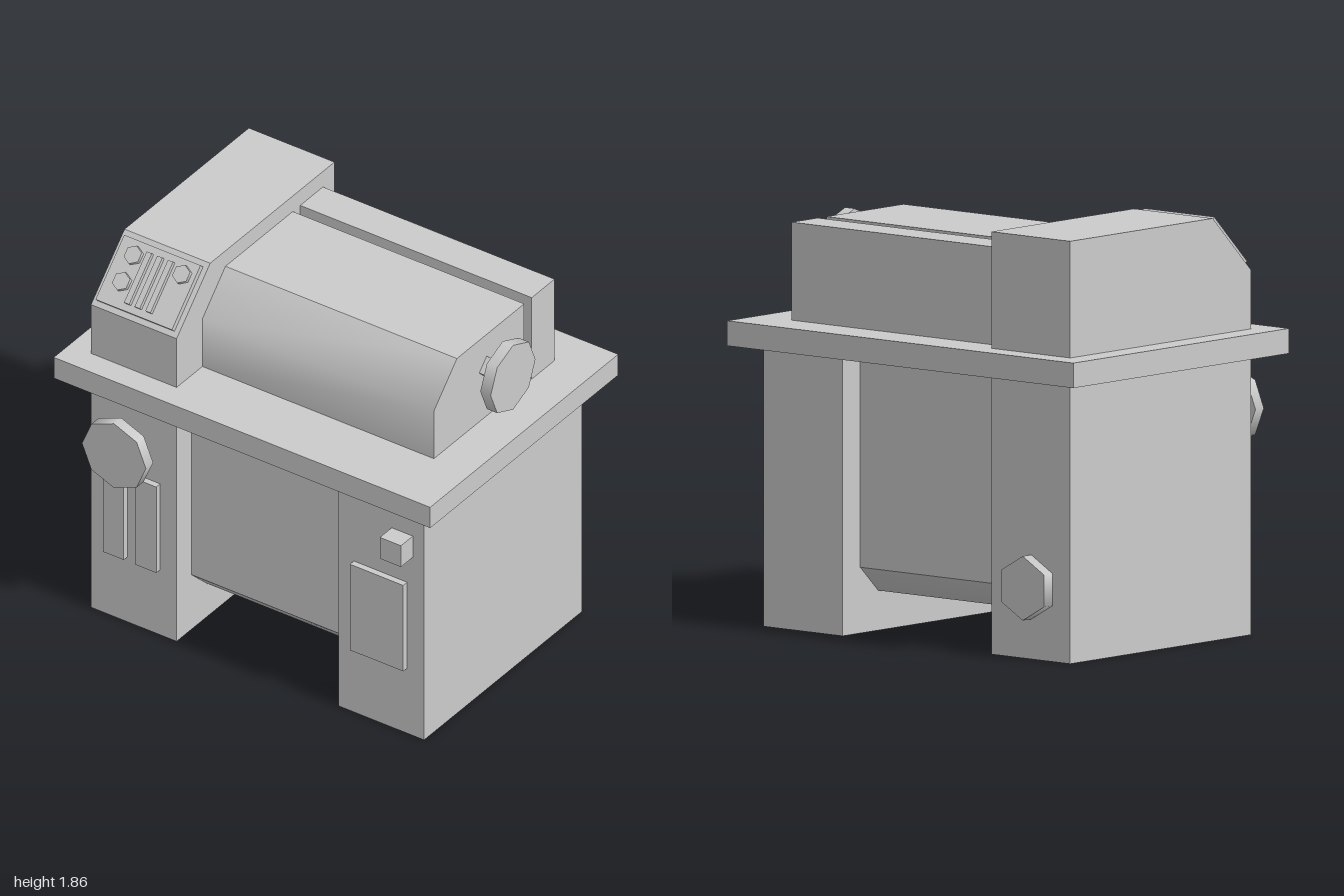
import * as THREE from 'three';
import { toCreasedNormals } from 'three/addons/utils/BufferGeometryUtils.js';

const smooth = new THREE.MeshStandardMaterial({ color: 0xcccccc });
const flat = new THREE.MeshStandardMaterial({ color: 0xcccccc, flatShading: true });

function add(parent, name, geometry, material = flat) {
  const mesh = new THREE.Mesh(geometry, material);
  mesh.name = name;
  parent.add(mesh);
  return mesh;
}

// Box given by its extents on each axis
function block(parent, name, [x0, x1], [y0, y1], [z0, z1]) {
  const mesh = add(parent, name, new THREE.BoxGeometry(x1 - x0, y1 - y0, z1 - z0));
  mesh.position.set((x0 + x1) / 2, (y0 + y1) / 2, (z0 + z1) / 2);
  return mesh;
}

// Side profile of [z, y] points extruded along x
function prism(parent, name, [x0, x1], profile, crease) {
  const shape = new THREE.Shape(profile.map(([z, y]) => new THREE.Vector2(-z, y)));
  const geometry = new THREE.ExtrudeGeometry(shape, { depth: x1 - x0, bevelEnabled: false });
  geometry.rotateY(Math.PI / 2).translate(x0, 0, 0);
  return add(parent, name, toCreasedNormals(geometry, crease), smooth);
}

// Polygonal disc with its axis along z
function disc(parent, name, radius, sides, z0, z1, material = smooth) {
  const geometry = new THREE.CylinderGeometry(radius, radius, z1 - z0, sides);
  geometry.rotateX(Math.PI / 2).translate(0, 0, (z0 + z1) / 2);
  return add(parent, name, geometry, material);
}

// Handwheel on a square shaft, pointing along z from its mounting face
function handwheel(parent, name, shaftLength) {
  const group = new THREE.Group();
  group.name = name;
  disc(group, 'shaft', 0.057, 4, 0, shaftLength, flat);
  disc(group, 'wheel', 0.17, 8, shaftLength, shaftLength + 0.055);
  parent.add(group);
  return group;
}

export function createModel() {
  const model = new THREE.Group();
  model.name = 'machine';
  const front = 0.582, back = -0.617;

  // Base: two pedestals with a chamfered tank between them
  block(model, 'rightPedestal', [-0.885, -0.43], [0, 1.235], [back, front]);
  block(model, 'leftPedestal', [0.43, 0.885], [0, 1.235], [back, front]);
  prism(model, 'tank', [-0.43, 0.43], [
    [0.47, 1.235], [0.47, 0.29], [0.35, 0.175], [-0.38, 0.175], [-0.5, 0.29], [-0.5, 1.235],
  ], Math.PI / 4);
  block(model, 'tableTop', [-1, 1], [1.235, 1.345], [-0.728, 0.7]);

  // Roller cover, rear block and the lower strip between
  prism(model, 'rollerCover', [-0.43, 0.8], [
    [0.386, 1.345], [0.386, 1.597], [0.211, 1.776], [-0.3, 1.776], [-0.3, 1.345],
  ], Math.PI / 4);
  block(model, 'coverStrip', [-0.43, 0.735], [1.345, 1.717], [-0.357, -0.3]);
  block(model, 'rearCover', [-0.43, 0.8], [1.345, 1.776], [-0.53, -0.357]);

  // Control console with a sloped front
  prism(model, 'console', [-0.885, -0.43], [
    [front, 1.345], [front, 1.603], [0.327, 1.858], [back, 1.858], [back, 1.345],
  ], 0.5);

  // Control panel laid on the slope: local y runs up the slope, z points out
  const panel = new THREE.Group();
  panel.name = 'controlPanel';
  panel.position.set(-0.6575, 1.7305, 0.4545);
  panel.rotation.x = -Math.PI / 4;
  model.add(panel);
  block(panel, 'panelPlate', [-0.203, 0.203], [-0.154, 0.154], [0, 0.027]);
  for (const x of [-0.044, 0.0125, 0.069]) {
    block(panel, 'panelRidge', [x - 0.0135, x + 0.0135], [-0.122, 0.122], [0.027, 0.047]);
  }
  for (const [x, y] of [[-0.114, 0.086], [-0.114, -0.04], [0.143, 0.086]]) {
    disc(panel, 'panelKnob', 0.043, 6, 0.027, 0.047).position.set(x, y, 0);
  }

  // Handwheels on the front and the left end
  handwheel(model, 'frontHandwheel', 0.092).position.set(-0.66, 0.975, front);
  const sideWheel = handwheel(model, 'sideHandwheel', 0.085);
  sideWheel.position.set(0.8, 1.603, -0.015);
  sideWheel.rotation.y = Math.PI / 2;

  // Hexagonal cap low on the back
  disc(model, 'rearCap', 0.1415, 6, -0.674, back).position.set(-0.66, 0.317, 0);

  // Raised front plates and the switch box
  for (const x of [[-0.8, -0.69], [-0.63, -0.517], [0.512, 0.795]]) {
    block(model, 'frontPlate', x, [0.345, 0.8], [front, 0.612]);
  }
  block(model, 'switchBox', [0.713, 0.825], [0.944, 1.056], [front, 0.672]);

  return model;
}
